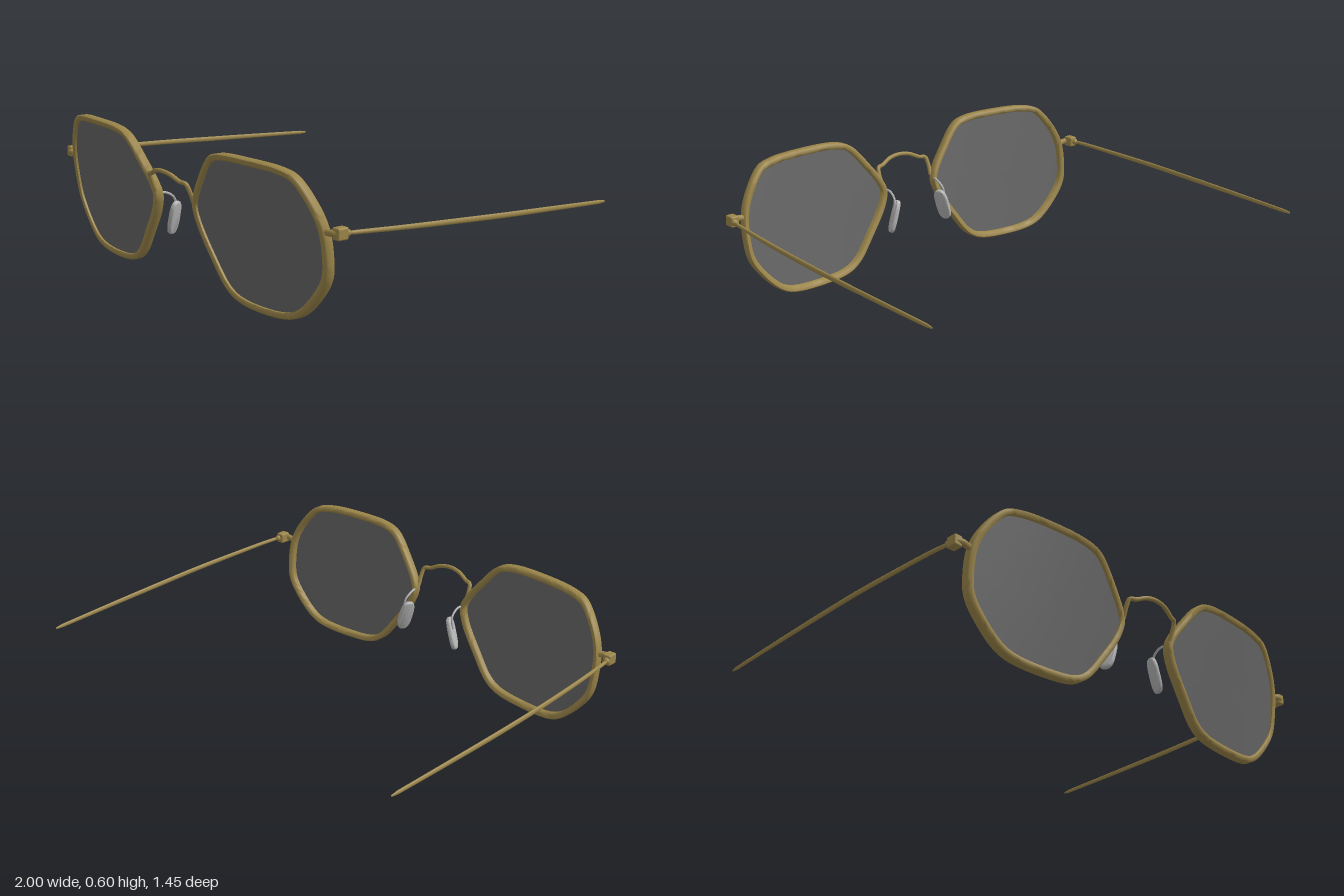
import * as THREE from 'three';
import { toCreasedNormals } from 'three/addons/utils/BufferGeometryUtils.js';
import { RoundedBoxGeometry } from 'three/addons/geometries/RoundedBoxGeometry.js';

const V = (x, y, z = 0) => new THREE.Vector3(x, y, z);

// Skin a list of closed cross-section rings
function loft(rings, loop = false) {
  const n = rings[0].length, index = [];
  const last = loop ? rings.length : rings.length - 1;
  for (let i = 0; i < last; i++) {
    const a = i * n, b = ((i + 1) % rings.length) * n;
    for (let j = 0; j < n; j++) {
      const k = (j + 1) % n;
      index.push(a + j, b + j, b + k, a + j, b + k, a + k);
    }
  }
  const geo = new THREE.BufferGeometry().setFromPoints(rings.flat());
  geo.setIndex(index);
  geo.computeVertexNormals();
  return geo;
}

// Mirror a geometry across x = 0 and restore its winding
function mirrored(geo) {
  const g = geo.index ? geo.toNonIndexed() : geo.clone();
  g.scale(-1, 1, 1);
  for (const { array, itemSize: s, count } of Object.values(g.attributes)) {
    for (let t = 0; t < count; t += 3) {
      for (let c = 0; c < s; c++) {
        const p = (t + 1) * s + c, q = (t + 2) * s + c, keep = array[p];
        array[p] = array[q];
        array[q] = keep;
      }
    }
  }
  return g;
}

const wire = (points, r, steps = 24) =>
  new THREE.TubeGeometry(new THREE.CatmullRomCurve3(points), steps, r, 10);

// Wrapped and tilted front surface shared by rims and lenses
const faceZ = (x, y) => 0.675 - 0.2 * (x - 0.35) ** 2 + 0.13 * (y - 0.3);

// Soft octagonal outline, counterclockwise
const outline = new THREE.CatmullRomCurve3([
  [0.78, 0.572], [0.713, 0.592], [0.553, 0.6], [0.355, 0.592], [0.292, 0.568],
  [0.205, 0.472], [0.147, 0.392], [0.13, 0.344], [0.152, 0.272], [0.232, 0.152],
  [0.31, 0.056], [0.38, 0.018], [0.553, 0.003], [0.686, 0.016], [0.75, 0.045],
  [0.835, 0.125], [0.888, 0.205], [0.902, 0.296], [0.895, 0.398], [0.857, 0.483],
].map(([x, y]) => V(x, y)), true);
const SAMPLES = 120;
const stations = Array.from({ length: SAMPLES }, (_, i) => {
  const p = outline.getPointAt(i / SAMPLES), t = outline.getTangentAt(i / SAMPLES);
  return { p, inward: V(-t.y, t.x) };
});

function rimGeometry() {
  // [inset, depth] around the rim section
  const section = [[0, 0.033], [0, 0.006], [0.005, 0], [0.02, 0],
    [0.026, 0.005], [0.026, 0.033], [0.02, 0.039], [0.005, 0.039]];
  const rings = stations.map(({ p, inward }) => section.map(([inset, depth]) => {
    const q = p.clone().addScaledVector(inward, inset);
    return q.setZ(faceZ(q.x, q.y) - depth);
  }));
  return toCreasedNormals(loft(rings, true), 0.9);
}

function lensGeometry() {
  const rings = [0, 0.2, 0.4, 0.6, 0.8, 1].map((s) => stations.map(({ p, inward }) => {
    const q = p.clone().addScaledVector(inward, 0.022);
    q.set(0.53 + (q.x - 0.53) * s, 0.3 + (q.y - 0.3) * s, 0);
    return q.setZ(faceZ(q.x, q.y) - 0.014);
  }));
  return loft(rings);
}

function templeGeometry() {
  // Centre line from hinge to tip, with a gently changing oval section
  const path = new THREE.CatmullRomCurve3([
    V(0.96, 0.39, 0.575), V(0.97, 0.386, 0.48), V(0.98, 0.378, 0.33),
    V(0.99, 0.366, 0.08), V(0.991, 0.354, -0.15), V(0.987, 0.34, -0.45), V(0.981, 0.327, -0.725)]);
  const rings = [], steps = 40;
  for (let i = 0; i <= steps; i++) {
    const t = i / steps, c = path.getPointAt(t);
    const cap = i === 0 || i === steps ? 0.5 : 1;
    const rx = (0.0075 - 0.002 * t) * cap;
    const ry = (0.008 + 0.003 * Math.sin(Math.PI * t)) * cap;
    const oval = (k) => Array.from({ length: 12 }, (_, j) => {
      const a = (j / 12) * Math.PI * 2;
      return V(c.x + Math.cos(a) * rx * k, c.y + Math.sin(a) * ry * k, c.z);
    });
    if (i === 0) rings.push(oval(0));
    rings.push(oval(1));
    if (i === steps) rings.push(oval(0));
  }
  return loft(rings);
}

function padGeometry() {
  // Rounded plate with a soft edge, stood up beside the nose
  const shape = new THREE.Shape();
  for (let i = 0; i < 36; i++) {
    const a = (i / 36) * Math.PI * 2, c = Math.cos(a), s = Math.sin(a);
    const x = 0.026 * Math.sign(c) * Math.abs(c) ** 0.7;
    const y = 0.068 * Math.sign(s) * Math.abs(s) ** 0.7;
    if (i) shape.lineTo(x, y); else shape.moveTo(x, y);
  }
  const geo = new THREE.ExtrudeGeometry(shape, {
    depth: 0.008, bevelThickness: 0.006, bevelSize: 0.006, bevelSegments: 3 });
  geo.translate(0, 0, -0.004);
  geo.rotateY(Math.PI / 2 - 0.4);
  geo.rotateZ(0.3);
  geo.translate(0.138, 0.238, 0.582);
  return toCreasedNormals(geo, 0.8);
}

export function createModel() {
  const model = new THREE.Group();
  model.name = 'glasses';
  const material = (name, color, side = THREE.FrontSide) => {
    const m = new THREE.MeshStandardMaterial({ color, side });
    m.name = name;
    return m;
  };
  const gold = material('antique gold', 0x9c864a);
  const tint = material('grey lens', 0x666666, THREE.DoubleSide);
  const clear = material('pale silicone', 0xb4b4b4);

  const add = (name, geo, mat) => {
    const mesh = new THREE.Mesh(geo, mat);
    mesh.name = name;
    model.add(mesh);
  };
  const pair = (name, geo, mat) => {
    add(`${name} left`, geo, mat);
    add(`${name} right`, mirrored(geo), mat);
  };

  pair('rim', rimGeometry(), gold);
  pair('lens', lensGeometry(), tint);

  // Arched bridge with ends turned down onto the rims
  const half = [[0.137, 0.36, 0.665], [0.139, 0.41, 0.685], [0.132, 0.438, 0.697],
    [0.105, 0.442, 0.705], [0.055, 0.463, 0.716]];
  add('bridge', wire([
    ...half.map(([x, y, z]) => V(-x, y, z)), V(0, 0.47, 0.721),
    ...half.reverse().map(([x, y, z]) => V(x, y, z))], 0.009, 60), gold);

  // Nose pads on bent wires
  pair('nosePad', padGeometry(), clear);
  pair('padArm', wire([V(0.139, 0.35, 0.65), V(0.134, 0.345, 0.615),
    V(0.138, 0.315, 0.578), V(0.145, 0.26, 0.578)], 0.005), clear);

  // End pieces, hinges and temples
  pair('endPiece', wire([V(0.885, 0.385, 0.605), V(0.91, 0.387, 0.611),
    V(0.935, 0.39, 0.612), V(0.958, 0.39, 0.604)], 0.013), gold);
  const block = new RoundedBoxGeometry(0.038, 0.046, 0.048, 3, 0.007);
  block.translate(0.953, 0.39, 0.592);
  pair('hingeBlock', block, gold);
  const knuckle = new THREE.SphereGeometry(0.014, 16, 12);
  knuckle.translate(0.959, 0.39, 0.566);
  pair('hingeKnuckle', knuckle, gold);
  pair('temple', templeGeometry(), gold);

  return model;
}
